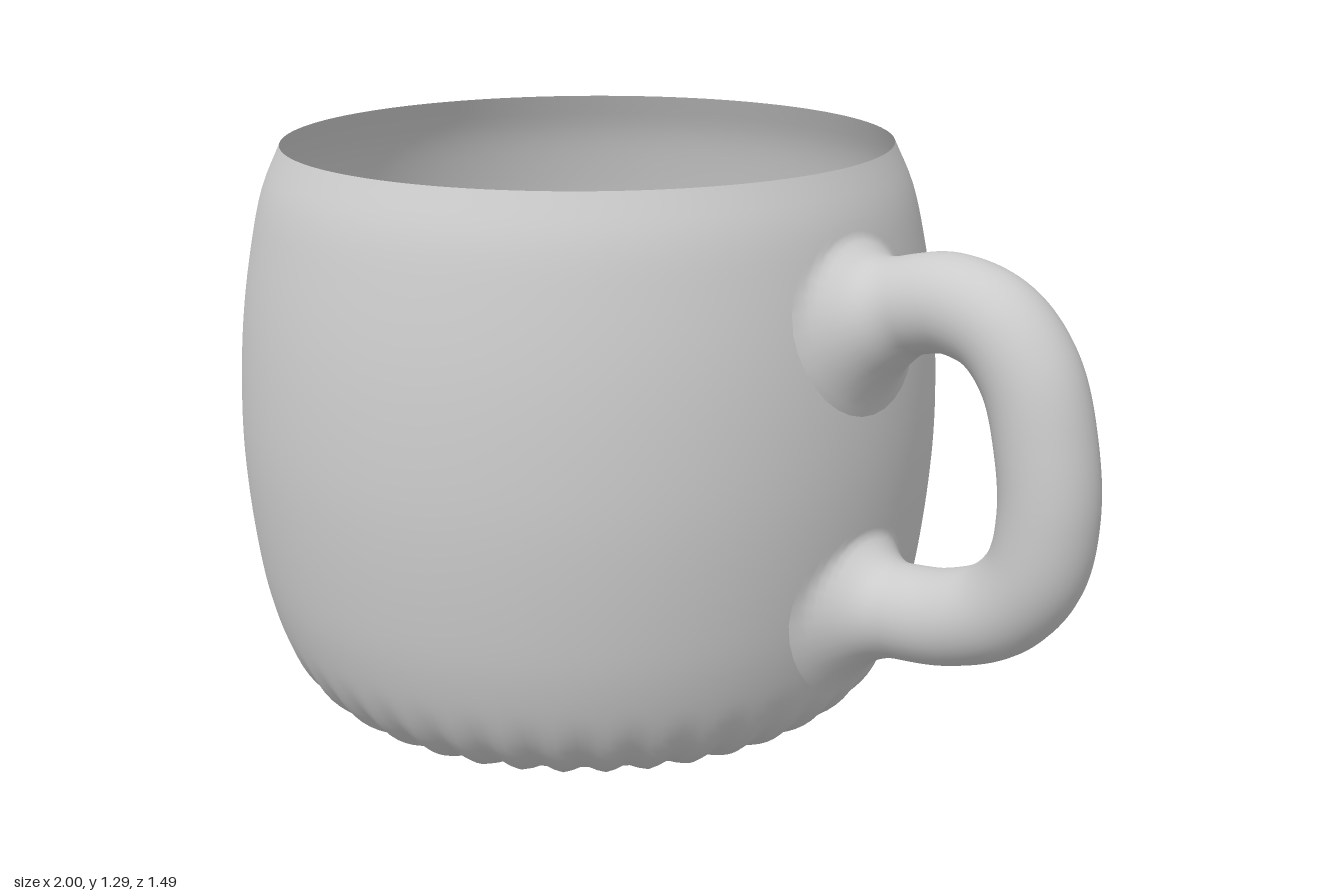
import * as THREE from 'three';
import { mergeVertices } from 'three/addons/utils/BufferGeometryUtils.js';

const AXIS_X = -0.25;
const FLUTES = 40;
const material = new THREE.MeshStandardMaterial({ color: 0xcccccc, side: THREE.DoubleSide });

// Wall profile as [radius, height], from the bottom centre to the rim
const profile = new THREE.CatmullRomCurve3([
  [0, 0], [0.15, 0.014], [0.3, 0.03], [0.45, 0.055], [0.56, 0.095], [0.63, 0.15], [0.675, 0.22],
  [0.71, 0.33], [0.733, 0.47], [0.748, 0.65], [0.747, 0.8], [0.735, 0.95],
  [0.712, 1.09], [0.685, 1.2], [0.645, 1.29],
].map(([r, y]) => new THREE.Vector3(r, y, 0))).getSpacedPoints(72)
  .map((p) => new THREE.Vector2(Math.max(p.x, 0), p.y));

function wallRadius(y) {
  const i = profile.findIndex((p) => p.y >= y);
  if (i < 1) return profile[0].x;
  const a = profile[i - 1], b = profile[i];
  return a.x + (b.x - a.x) * (y - a.y) / (b.y - a.y);
}

// Move every vertex by a rule, then weld seams and smooth the normals
function reshape(geometry, rule) {
  const pos = geometry.attributes.position, v = new THREE.Vector3();
  for (let i = 0; i < pos.count; i++) {
    v.fromBufferAttribute(pos, i);
    rule(v, i);
    pos.setXYZ(i, v.x, v.y, v.z);
  }
  geometry.deleteAttribute('uv');
  geometry.deleteAttribute('normal');
  const welded = mergeVertices(geometry, 1e-5);
  welded.computeVertexNormals();
  return welded;
}

// Thin open cup with soft flutes round the base and a shallow dent at the back
function makeCup() {
  return reshape(new THREE.LatheGeometry(profile, 200), (v) => {
    const r = Math.hypot(v.x, v.z), angle = Math.atan2(v.z, v.x), y = v.y;
    const fade = (1 - THREE.MathUtils.smoothstep(y, 0.1, 0.27)) * THREE.MathUtils.smoothstep(r, 0.15, 0.6);
    const wave = Math.cos(FLUTES * angle) * fade;
    const scale = 1 + 0.008 * wave;
    const dent = v.z < 0 ? 0.016 * Math.exp(-((v.x / 0.12) ** 2) - ((y - 0.62) / 0.22) ** 2) : 0;
    v.x *= scale;
    v.z = v.z * scale + dent - 0.008 * THREE.MathUtils.smoothstep(y, 0.3, 1.1);
    v.y -= 0.005 * wave * THREE.MathUtils.smoothstep(y, 0.02, 0.06);
    v.x += AXIS_X;
  });
}

// Round handle whose ends flare out and lie against the wall
function makeHandle() {
  const path = new THREE.CatmullRomCurve3([
    [0.45, 1.01], [0.52, 1.03], [0.6, 1.058], [0.68, 1.07], [0.78, 1.04], [0.85, 0.96],
    [0.89, 0.83], [0.903, 0.7], [0.88, 0.58], [0.81, 0.495], [0.7, 0.447], [0.58, 0.43], [0.45, 0.425],
  ].map(([x, y]) => new THREE.Vector3(x, y, 0)));
  const rings = 120, sides = 32;
  return reshape(new THREE.TubeGeometry(path, rings, 0.096, sides, false), (v, i) => {
    const centre = path.getPointAt(Math.floor(i / (sides + 1)) / rings);
    const t = Math.max(0, (0.59 - centre.x) / 0.13);
    v.sub(centre).multiplyScalar(1 + 0.9 * t * t).add(centre);
    const dx = v.x - AXIS_X, r = Math.hypot(dx, v.z), limit = wallRadius(v.y) + 0.002;
    if (r < limit) {
      v.x = AXIS_X + dx * limit / r;
      v.z *= limit / r;
    }
  });
}

export function createModel() {
  const group = new THREE.Group();
  group.name = 'mug';
  for (const [name, geometry] of [['cup', makeCup()], ['handle', makeHandle()]]) {
    const mesh = new THREE.Mesh(geometry, material);
    mesh.name = name;
    group.add(mesh);
  }
  return group;
}
